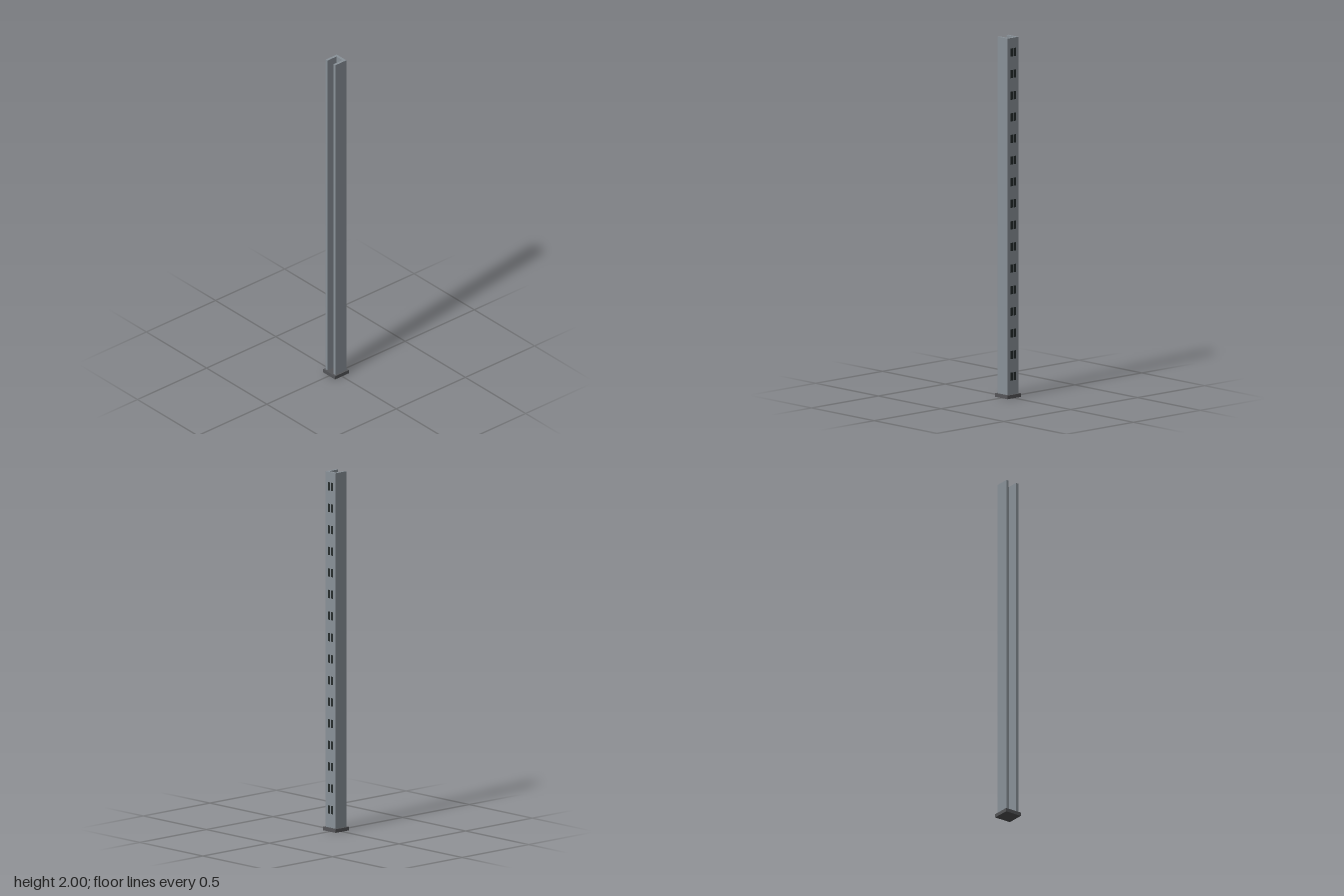
import * as THREE from 'three';

const paint = (name, color) => {
  const m = new THREE.MeshStandardMaterial({ color });
  m.name = name;
  return m;
};

export function createModel() {
  const group = new THREE.Group();
  group.name = 'channelTower';
  const concrete = paint('greyConcrete', 0x8a9299);
  const plinthGrey = paint('darkGrey', 0x555659);
  const glass = paint('darkGlass', 0x262c2c);

  const add = (name, geometry, material, x, y, z) => {
    const mesh = new THREE.Mesh(geometry, material);
    mesh.name = name;
    mesh.position.set(x, y, z);
    group.add(mesh);
  };

  // Square plinth
  add('plinth', new THREE.BoxGeometry(0.1, 0.02, 0.1), plinthGrey, 0, 0.01, 0);

  // U-shaped column, open towards the front
  const o = 0.04, i = 0.025;
  const plan = new THREE.Shape([
    [-o, -o], [-i, -o], [-i, i], [i, i], [i, -o], [o, -o], [o, o], [-o, o],
  ].map(([x, y]) => new THREE.Vector2(x, y)));
  const column = new THREE.ExtrudeGeometry(plan, { depth: 1.98, bevelEnabled: false });
  column.rotateX(-Math.PI / 2);
  add('column', column, concrete, 0, 0.02, 0);

  // Paired windows up the back wall
  const pane = new THREE.BoxGeometry(0.016, 0.045, 0.004);
  for (let row = 0; row < 16; row++) {
    for (const side of [-1, 1]) {
      add('window', pane, glass, side * 0.012, 0.12 + row * 0.12, -0.041);
    }
  }
  return group;
}
